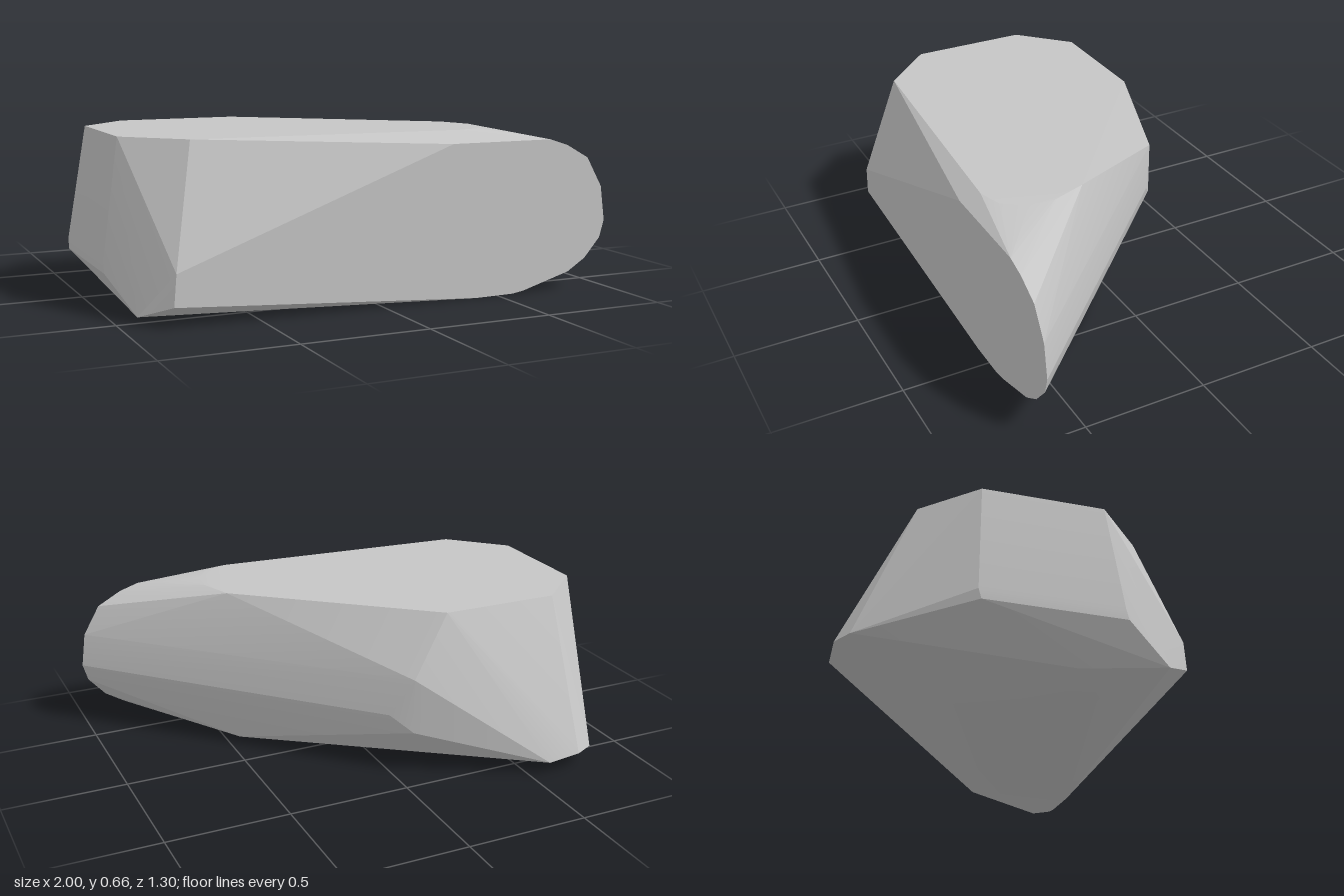
import * as THREE from 'three';
import { ConvexGeometry } from 'three/addons/geometries/ConvexGeometry.js';
import { toCreasedNormals } from 'three/addons/utils/BufferGeometryUtils.js';

// Corners of the boulder, grouped by facet, as [x, y, z]
const topRim = [
  [-0.93, -0.17], [-0.73, -0.36], [-0.24, -0.36], [0.47, 0.23], [0.52, 0.37],
  [0.51, 0.47], [0.45, 0.56], [0.35, 0.59], [-0.72, 0.52], [-0.93, 0.31],
].map(([x, z]) => [x, 0.657, z]);

const frontRim = [
  [-0.82, 0.2], [-0.83, 0.08], [0.4, 0], [0.57, 0.002], [0.62, 0.01], [0.83, 0.07],
  [0.91, 0.12], [0.98, 0.2], [1, 0.27], [0.98, 0.41], [0.91, 0.53],
  [0.81, 0.585], [0.73, 0.61], [0.29, 0.61],
].map(([x, y]) => [x, y, 0.65]);

const underside = [
  [-0.88, 0.004, 0.2], [-0.79, 0, 0.29], [-0.66, 0, 0.36], [-0.39, 0, 0.45],
  [0.44, 0, 0.22], [-0.4, 0, 0.02],
];

const leftEnd = [
  [-1, 0.2, -0.21], [-1, 0.16, -0.2], [-1, 0.2, 0.34], [-1, 0.16, 0.35], [-0.93, 0.03, 0.53],
];

const backEdge = [
  [-0.79, 0.07, -0.61], [-0.71, 0.07, -0.65], [-0.58, 0.05, -0.64],
  [-0.08, 0.41, -0.4], [0, 0.25, -0.34], [-0.08, 0.18, -0.4],
];

export function createModel() {
  const group = new THREE.Group();
  group.name = 'rock';
  const stone = new THREE.MeshStandardMaterial({ color: 0xc5c5c5 });
  stone.name = 'pale grey stone';

  // One convex hull, with only the shallow edges softened
  const corners = [topRim, frontRim, underside, leftEnd, backEdge].flat();
  const hull = new ConvexGeometry(corners.map((c) => new THREE.Vector3(...c)));
  const boulder = new THREE.Mesh(toCreasedNormals(hull, 0.2), stone);
  boulder.name = 'boulder';
  group.add(boulder);
  return group;
}
